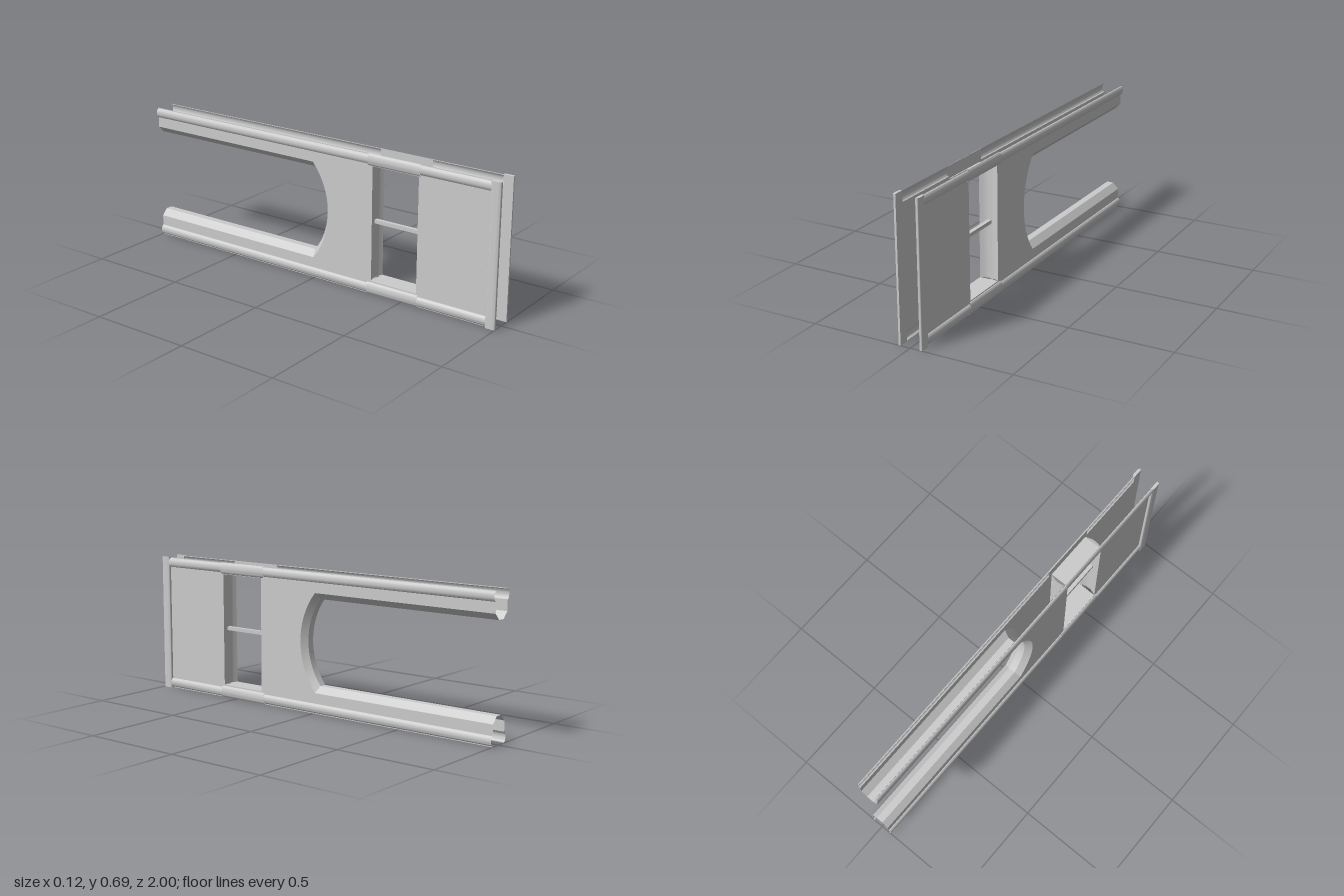
import * as THREE from 'three';
import { toCreasedNormals } from 'three/addons/utils/BufferGeometryUtils.js';

const W = 0.048;          // half distance between the two side sheets
const OUT = 0.0625;       // outermost reach of beads and posts
const H = 0.687, MID = H / 2;
const WIN = { z0: 0.33, z1: 0.58, y0: 0.063, y1: 0.628 };

const material = new THREE.MeshStandardMaterial({ color: 0xcccccc, side: THREE.DoubleSide });

function add(parent, name, geometry) {
  const mesh = new THREE.Mesh(geometry, material);
  mesh.name = name;
  parent.add(mesh);
  return mesh;
}

// Open surface through rows of [x, y, z] points
function sheet(rows) {
  const n = rows[0].length, index = [];
  for (let i = 0; i < rows.length - 1; i++)
    for (let j = 0; j < n - 1; j++) {
      const a = i * n + j, b = a + n;
      index.push(a, b, a + 1, b, b + 1, a + 1);
    }
  const g = new THREE.BufferGeometry();
  g.setAttribute('position', new THREE.Float32BufferAttribute(rows.flat(2), 3));
  g.setIndex(index);
  return toCreasedNormals(g, 0.5);
}

// Half-oval bulge: pairs of [outward x, position along the width]
function bulge(from, to, depth, steps = 10) {
  return Array.from({ length: steps + 1 }, (_, i) => {
    const a = (i / steps) * Math.PI;
    return [W + depth * Math.sin(a), (from + to) / 2 - ((to - from) / 2) * Math.cos(a)];
  });
}

// Slot outline as [z, y]: long arm, round end, long arm
function slotPath(half, zEnd, sag) {
  const r = (half * half + sag * sag) / (2 * sag), span = Math.asin(half / r);
  const pts = [[-1, MID - half]];
  for (let i = 0; i <= 16; i++) {
    const a = -span + (2 * span * i) / 16;
    pts.push([zEnd + sag - r + r * Math.cos(a), MID + r * Math.sin(a)]);
  }
  pts.push([-1, MID + half]);
  return pts;
}

const slotOuter = slotPath(0.242, -0.01, 0.09);
const slotInner = slotPath(0.211, -0.02, 0.075);

function buildSide() {
  const side = new THREE.Group();

  // Flat sheet with the slot cut in its outline and the window as a hole
  const outline = new THREE.Shape(
    [[-1, 0.05], [0.96, 0.05], [0.96, 0.637], [-1, 0.637], ...[...slotOuter].reverse()]
      .map(([z, y]) => new THREE.Vector2(z, y)));
  outline.holes.push(new THREE.Path(
    [[WIN.z0, WIN.y0], [WIN.z0, WIN.y1], [WIN.z1, WIN.y1], [WIN.z1, WIN.y0]]
      .map(([z, y]) => new THREE.Vector2(z, y))));
  add(side, 'sidePanel', new THREE.ShapeGeometry(outline).rotateY(-Math.PI / 2).translate(W, 0, 0));

  // Hollow beads along the upper and lower edges, mirrored about mid height
  for (const top of [true, false]) {
    const flip = y => (top ? y : H - y);
    const run = (profile, z0, z1) => sheet([z0, z1].map(z => profile.map(([x, y]) => [x, flip(y), z])));
    const prefix = top ? 'upper' : 'lower';
    const bead = [[W, 0.63], ...bulge(0.637, 0.683, 0.0125), [W, H]];
    add(side, prefix + 'RailRear', run(bead, -1, 0.31));
    add(side, prefix + 'RailFront', run(bead, 0.59, 0.955));
    // Over the window the rail is closed by a flush inner strip
    add(side, prefix + 'RailCover', run([...bulge(0.63, H, 0.0125), [W, 0.63]], 0.31, 0.59));
  }

  // Rounded upright at the front end
  const post = new THREE.Shape();
  post.moveTo(W, 0.95);
  post.lineTo(0.056, 0.95);
  post.quadraticCurveTo(OUT, 0.951, OUT, 0.965);
  post.lineTo(OUT, 0.985);
  post.quadraticCurveTo(OUT, 0.999, 0.056, 1);
  post.lineTo(W, 1);
  post.closePath();
  const postGeometry = new THREE.ExtrudeGeometry(post, { depth: H, bevelEnabled: false, curveSegments: 5 });
  postGeometry.rotateX(Math.PI / 2).scale(1, -1, 1);
  // The mirrored extrusion needs its triangles and normals rebuilt
  const p = postGeometry.attributes.position;
  for (let i = 0; i < p.count; i += 3) {
    const b = [p.getX(i + 1), p.getY(i + 1), p.getZ(i + 1)];
    p.setXYZ(i + 1, p.getX(i + 2), p.getY(i + 2), p.getZ(i + 2));
    p.setXYZ(i + 2, ...b);
  }
  // Shape y must end up as +z and height as +y
  if (p.getZ(0) < 0) postGeometry.scale(1, 1, -1);
  postGeometry.computeBoundingBox();
  postGeometry.translate(0, -postGeometry.boundingBox.min.y, 0);
  add(side, 'frontPost', toCreasedNormals(postGeometry, 0.6));
  return side;
}

export function createModel() {
  const model = new THREE.Group();
  model.name = 'slottedFrame';

  // Two mirrored sides
  const left = buildSide();
  left.name = 'leftSide';
  const right = buildSide();
  right.name = 'rightSide';
  right.scale.x = -1;
  model.add(left, right);

  // Raised trapezoid lining around the slot
  const slotProfile = [[-W, 0], [-0.018, 1], [0.018, 1], [W, 0]];
  add(model, 'slotLining', sheet(slotOuter.map(([z, y], i) => slotProfile.map(([x, t]) =>
    [x, THREE.MathUtils.lerp(y, slotInner[i][1], t), THREE.MathUtils.lerp(z, slotInner[i][0], t)]))));

  // Window lining: hollowed jambs, flat sill and head
  const jamb = (z, dir) => sheet([WIN.y0, WIN.y1].map(y =>
    Array.from({ length: 13 }, (_, i) => {
      const t = (i / 12) * 2 - 1;
      return [t * W, y, z + dir * 0.013 * (1 - t * t)];
    })));
  add(model, 'rearJamb', jamb(WIN.z0, -1));
  add(model, 'frontJamb', jamb(WIN.z1, 1));
  const flat = y => sheet([WIN.z0, WIN.z1].map(z => [[-W, y, z], [W, y, z]]));
  add(model, 'windowSill', flat(WIN.y0));
  add(model, 'windowHead', flat(WIN.y1));

  // Crossbar in the window
  add(model, 'crossbar', new THREE.BoxGeometry(0.02, 0.018, 0.272))
    .position.set(0, 0.347, (WIN.z0 + WIN.z1) / 2);

  return model;
}
